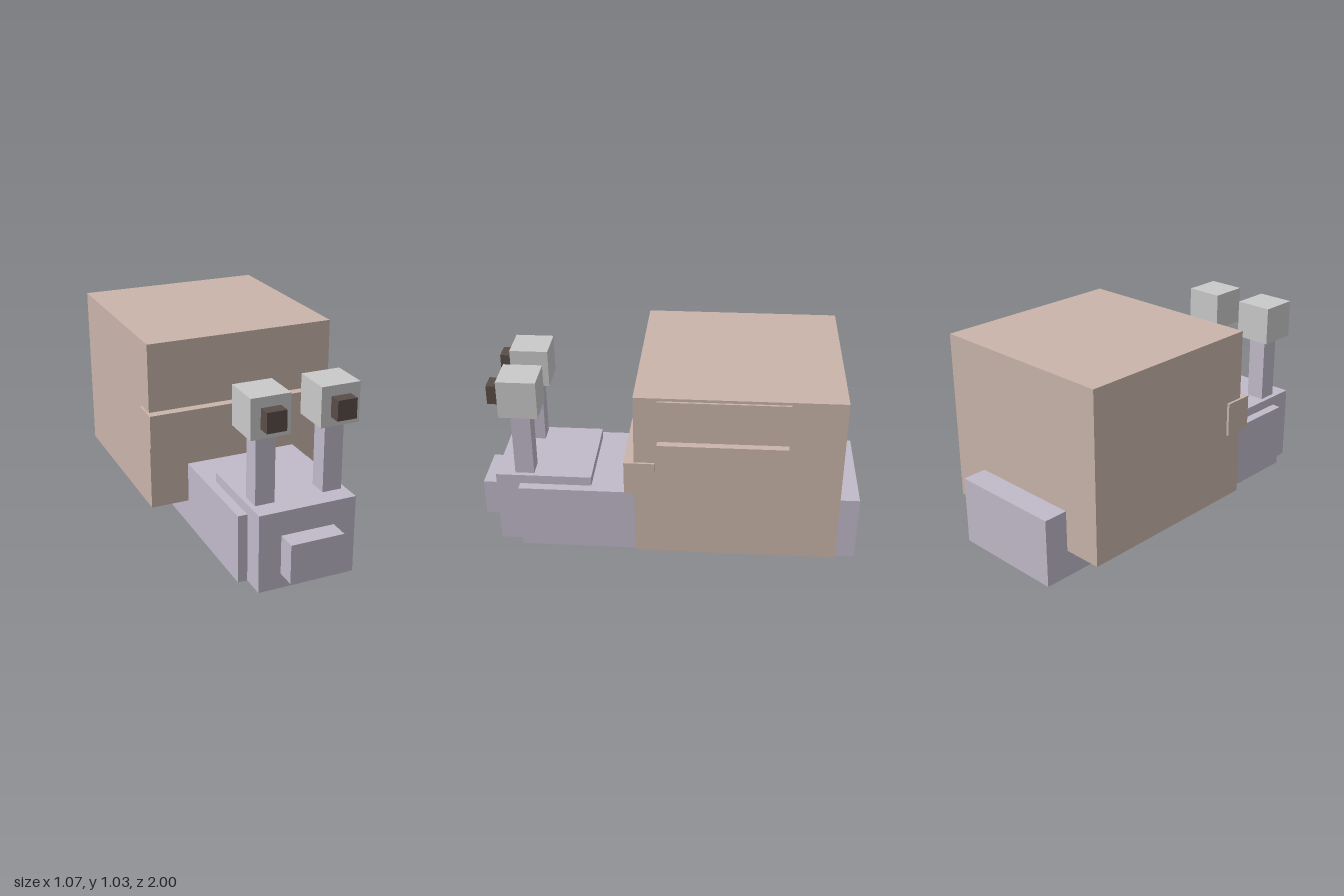
import * as THREE from 'three';

const material = (name, color) => {
  const m = new THREE.MeshStandardMaterial({ color });
  m.name = name;
  return m;
};

export function createModel() {
  const group = new THREE.Group();
  group.name = 'snail';
  const tan = material('shell tan', 0xc9b4aa);
  const lavender = material('body lavender', 0xc1b9c9);
  const grey = material('eye grey', 0xc8c9c8);
  const dark = material('pupil brown', 0x594d48);

  // Box given by its extents along each axis
  const box = (name, mat, [x0, x1], [y0, y1], [z0, z1]) => {
    const mesh = new THREE.Mesh(new THREE.BoxGeometry(x1 - x0, y1 - y0, z1 - z0), mat);
    mesh.position.set((x0 + x1) / 2, (y0 + y1) / 2, (z0 + z1) / 2);
    mesh.name = name;
    group.add(mesh);
  };

  // Body, head and snout
  box('body', lavender, [-0.322, 0.282], [0, 0.355], [-1, 0.773]);
  box('head', lavender, [-0.273, 0.232], [0, 0.405], [0.395, 0.898]);
  box('snout', lavender, [-0.158, 0.118], [0.078, 0.28], [0.85, 1]);

  // Shell with its front band and stepped side plates
  box('shell', tan, [-0.525, 0.485], [0.142, 1.028], [-0.873, 0.141]);
  box('shellBand', tan, [-0.538, 0.497], [0.497, 0.671], [0.04, 0.191]);
  box('shellSidePlate', tan, [0.45, 0.497], [0.407, 1.014], [-0.605, 0.026]);
  box('shellSideRidge', tan, [0.45, 0.535], [0.623, 0.799], [-0.605, 0.026]);

  // Eye stalks, eyes and pupils
  for (const [side, x] of [['right', -0.197], ['left', 0.157]]) {
    box(side + 'Stalk', lavender, [x - 0.05, x + 0.05], [0.38, 0.78], [0.699, 0.799]);
    box(side + 'Eye', grey, [x - 0.1, x + 0.1], [0.763, 0.964], [0.648, 0.849]);
    box(side + 'Pupil', dark, [x - 0.05, x + 0.05], [0.812, 0.913], [0.82, 0.912]);
  }
  return group;
}
